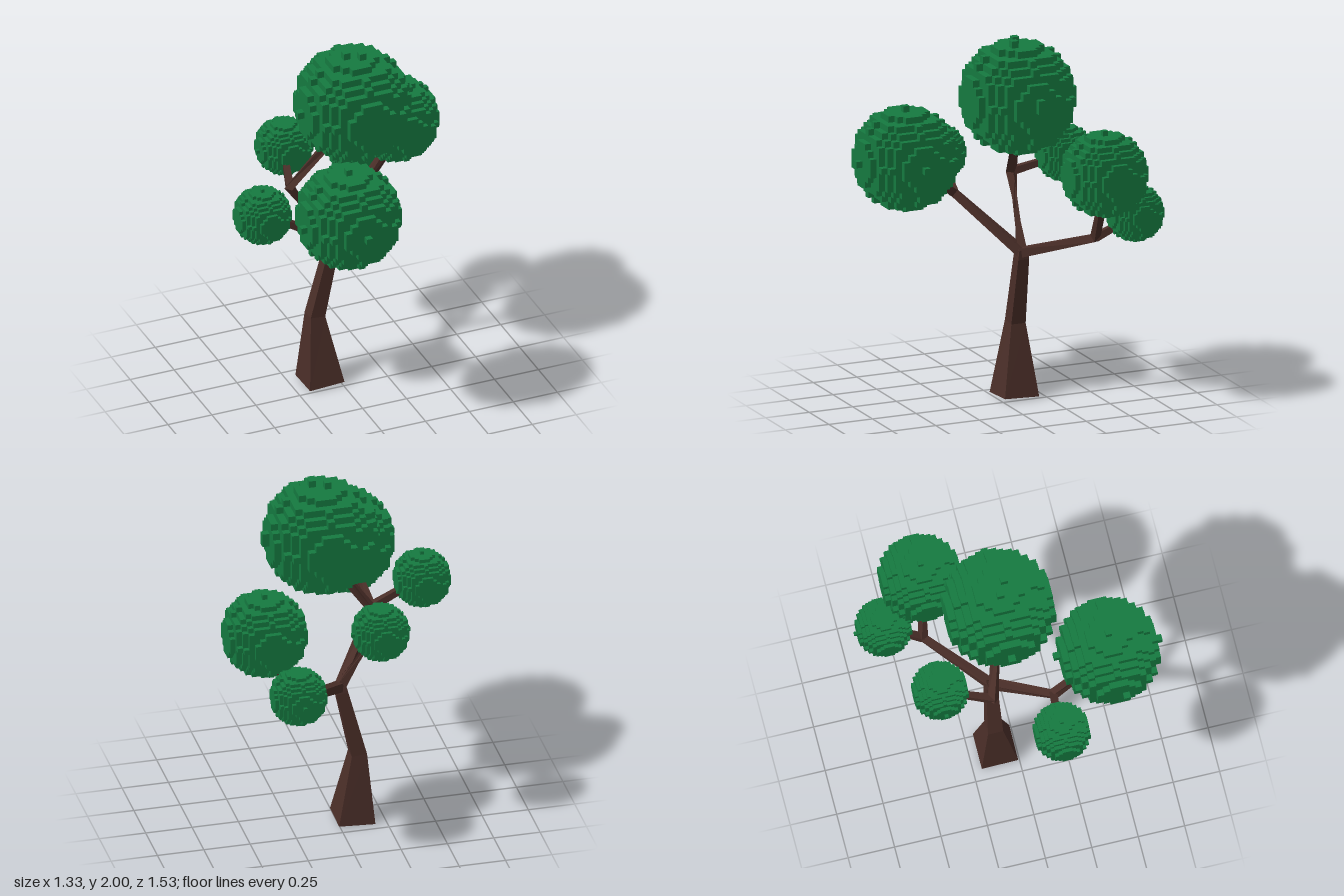
import * as THREE from 'three';

const bark = new THREE.MeshStandardMaterial({ color: 0x4a2e28, flatShading: true });
const leaf = new THREE.MeshStandardMaterial({ color: 0x157a40, flatShading: true });

function buildGeometry(positions, index) {
  const geo = new THREE.BufferGeometry();
  geo.setAttribute('position', new THREE.Float32BufferAttribute(positions, 3));
  geo.setIndex(index);
  const flat = geo.toNonIndexed();
  flat.computeVertexNormals();
  return flat;
}

// Square limb swept through points [x, y, z, halfWidth]; ref sets its roll
function limb(name, points, ref) {
  const p = points.map(([x, y, z]) => new THREE.Vector3(x, y, z));
  const last = p.length - 1;
  const positions = [], index = [];
  p.forEach((c, i) => {
    const t = new THREE.Vector3();
    if (i > 0) t.add(c.clone().sub(p[i - 1]).normalize());
    if (i < last) t.add(p[i + 1].clone().sub(c).normalize());
    t.normalize();
    const u = new THREE.Vector3().crossVectors(ref, t).normalize();
    const v = new THREE.Vector3().crossVectors(t, u);
    const h = points[i][3];
    for (const [a, b] of [[-1, -1], [1, -1], [1, 1], [-1, 1]]) {
      const q = c.clone().addScaledVector(u, a * h).addScaledVector(v, b * h);
      positions.push(q.x, q.y, q.z);
    }
    if (i < last) {
      for (let k = 0; k < 4; k++) {
        const a = i * 4 + k, b = i * 4 + (k + 1) % 4;
        index.push(a, b, b + 4, a, b + 4, a + 4);
      }
    }
  });
  const e = last * 4;
  index.push(0, 2, 1, 0, 3, 2, e, e + 1, e + 2, e, e + 2, e + 3);
  const mesh = new THREE.Mesh(buildGeometry(positions, index), bark);
  mesh.name = name;
  return mesh;
}

// Ball of small cubes, 15 cells wide, with single cubes standing out as knobs
function leafBall(name, center, width, knobs) {
  const cells = new Set(knobs.map(k => k.join()));
  for (let i = -7; i <= 7; i++)
    for (let j = -7; j <= 7; j++)
      for (let k = -7; k <= 7; k++)
        if (i * i + j * j + k * k <= 61) cells.add([i, j, k].join());

  const positions = [], index = [];
  for (const key of cells) {
    const c = key.split(',').map(Number);
    for (let axis = 0; axis < 3; axis++) {
      for (const s of [-1, 1]) {
        const next = [...c];
        next[axis] += s;
        if (cells.has(next.join())) continue; // only outside faces
        const n = positions.length / 3;
        for (const [a, b] of [[-1, -1], [1, -1], [1, 1], [-1, 1]]) {
          const q = [...c];
          q[axis] += s / 2;
          q[(axis + 1) % 3] += a / 2;
          q[(axis + 2) % 3] += b / 2;
          positions.push(...q);
        }
        if (s > 0) index.push(n, n + 1, n + 2, n, n + 2, n + 3);
        else index.push(n, n + 2, n + 1, n, n + 3, n + 2);
      }
    }
  }
  const mesh = new THREE.Mesh(buildGeometry(positions, index), leaf);
  mesh.name = name;
  mesh.position.set(...center);
  mesh.scale.setScalar(width / 15);
  return mesh;
}

export function createModel() {
  const tree = new THREE.Group();
  tree.name = 'tree';
  const up = new THREE.Vector3(0, 1, 0), front = new THREE.Vector3(0, 0, 1);

  // Trunk, bent at mid height
  tree.add(limb('trunk', [
    [-0.09, 0.01, -0.105, 0.098],
    [-0.112, 0.4, -0.12, 0.041],
    [-0.025, 0.77, -0.115, 0.031],
    [-0.02, 0.82, -0.115, 0.024],
  ], front));

  // Three branches from the fork; each carries on into one ball and has a twig to another
  const fork = [-0.02, 0.8, -0.115, 0.025];
  const branches = [
    { name: 'rearLeft', knee: [0.27, 0.92, -0.405], tip: [0.44, 1.18, -0.375], twig: [0.32, 1.01, -0.56] },
    { name: 'top', knee: [-0.24, 1.18, -0.155], tip: [0.0, 1.5, -0.08], twig: [-0.18, 1.24, -0.36] },
    { name: 'frontRight', knee: [-0.26, 1.095, 0.165], tip: [-0.21, 1.25, 0.38], twig: [-0.46, 1.21, 0.145] },
  ];
  for (const { name, knee, tip, twig } of branches) {
    tree.add(limb(name + 'Branch', [fork, [...knee, 0.022], [...tip, 0.019]], up));
    tree.add(limb(name + 'Twig', [[...knee, 0.02], [...twig, 0.016]], up));
  }

  // Foliage
  const L = [8, 0, 0], R = [-8, 0, 0], T = [0, 8, 0], B = [0, -8, 0], F = [0, 0, 8], K = [0, 0, -8];
  tree.add(
    leafBall('topFoliage', [0.07, 1.68, -0.05], 0.56, [L, [8, 1, 0], R, [-1, 8, 0], [1, 8, 1], B]),
    leafBall('frontFoliage', [-0.18, 1.34, 0.48], 0.508, [L, [-8, 0, 1], T, B, F, [1, 0, -8]]),
    leafBall('rearLeftFoliage', [0.455, 1.32, -0.375], 0.418, [T, B]),
    leafBall('lowRearFoliage', [0.33, 1.05, -0.605], 0.28, [B, F, K]),
    leafBall('rightFoliage', [-0.525, 1.243, 0.143], 0.282, [T]),
    leafBall('rearRightFoliage', [-0.16, 1.27, -0.422], 0.28, [L, R]),
  );
  return tree;
}
